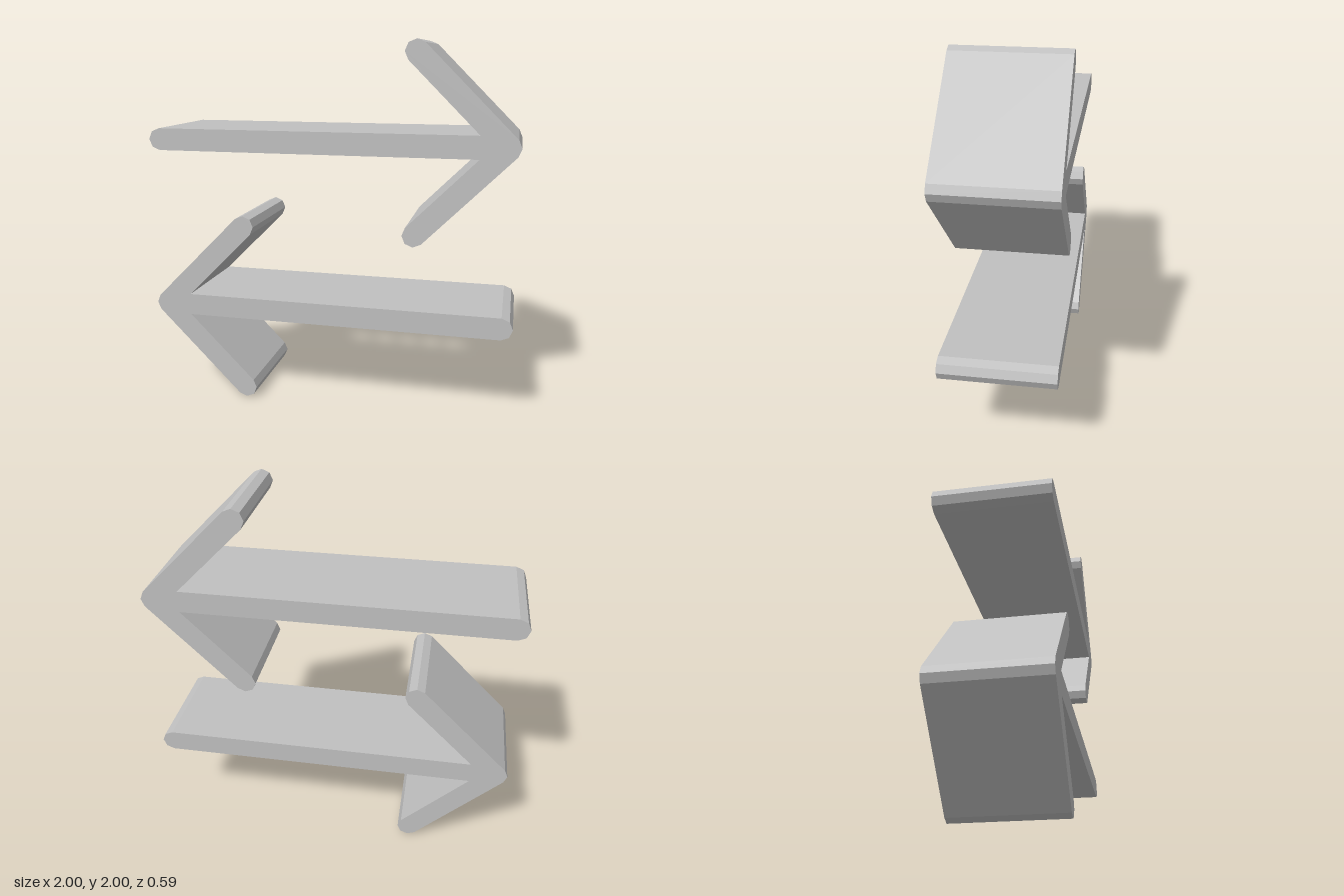
import * as THREE from 'three';

const R = 0.06;      // half thickness of every bar
const REACH = 0.94;  // distance from centre to the tip and tail round centres
const BARB = 0.47;   // barb length along x and y
const DEPTH = 0.59;

// Points of a rounded end in 45 degree steps, angles in degrees
function cap(cx, cy, from, to) {
  const points = [];
  for (let a = from; a <= to; a += 45) {
    const t = THREE.MathUtils.degToRad(a);
    points.push(new THREE.Vector2(cx + R * Math.cos(t), cy + R * Math.sin(t)));
  }
  return points;
}

// Arrow pointing to +x, centred on its own shaft
function arrowGeometry() {
  const notch = REACH - R * Math.SQRT2 - R;
  const outline = [
    ...cap(REACH, 0, -45, 45),               // tip
    ...cap(REACH - BARB, BARB, 45, 225),     // upper barb
    new THREE.Vector2(notch, R),
    ...cap(-REACH, 0, 90, 270),              // tail
    new THREE.Vector2(notch, -R),
    ...cap(REACH - BARB, -BARB, 135, 315),   // lower barb
  ];
  const geometry = new THREE.ExtrudeGeometry(new THREE.Shape(outline), { depth: DEPTH, bevelEnabled: false });
  return geometry.translate(0, 0, -DEPTH / 2);
}

export function createModel() {
  const model = new THREE.Group();
  model.name = 'exchangeArrows';
  const grey = new THREE.MeshStandardMaterial({ color: 0xc0c0c0 });
  grey.name = 'light grey';
  const geometry = arrowGeometry();

  const upper = new THREE.Mesh(geometry, grey);
  upper.name = 'upperArrow';
  upper.position.y = 1 + BARB;

  // Same arrow turned half round to point to -x
  const lower = new THREE.Mesh(geometry, grey);
  lower.name = 'lowerArrow';
  lower.position.y = 1 - BARB;
  lower.rotation.z = Math.PI;

  model.add(upper, lower);
  return model;
}
